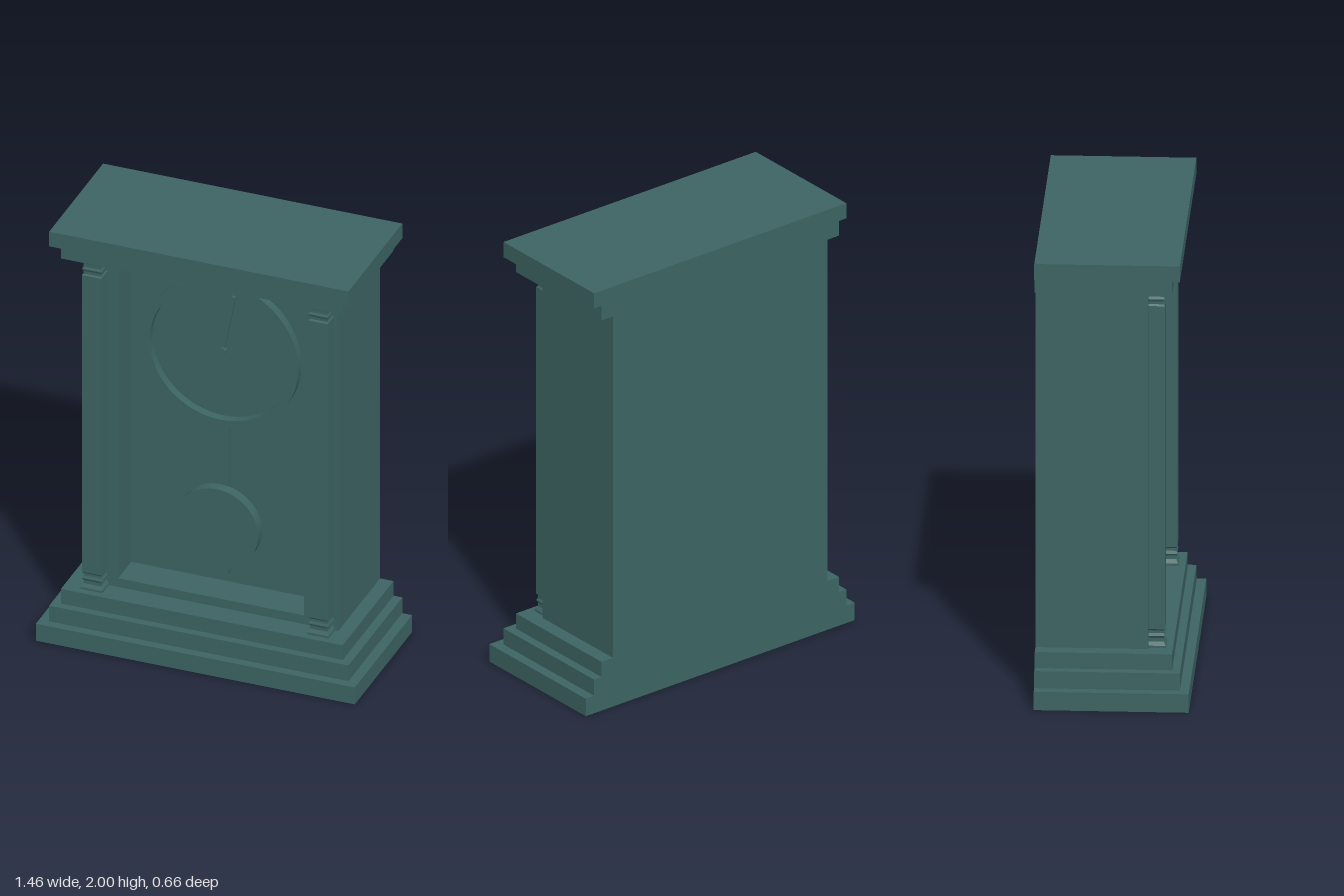
import * as THREE from 'three';

const BACK = -0.33;
const mat = new THREE.MeshStandardMaterial({ color: 0x3c6463, flatShading: true });

export function createModel() {
  const clock = new THREE.Group();
  clock.name = 'mantelClock';

  const add = (name, geometry, parent = clock) => {
    const mesh = new THREE.Mesh(geometry, mat);
    mesh.name = name;
    parent.add(mesh);
    return mesh;
  };
  // Box centred on x, given by half width, height range and depth range
  const slab = (name, halfW, y0, y1, z0, z1) => {
    const g = new THREE.BoxGeometry(halfW * 2, y1 - y0, z1 - z0);
    g.translate(0, (y0 + y1) / 2, (z0 + z1) / 2);
    return add(name, g);
  };
  const rect = (Type, halfW, y0, y1) => new Type([
    new THREE.Vector2(-halfW, y0), new THREE.Vector2(halfW, y0),
    new THREE.Vector2(halfW, y1), new THREE.Vector2(-halfW, y1),
  ]);
  const extrude = (shape, z0, z1, curveSegments = 12) => {
    const g = new THREE.ExtrudeGeometry(shape, { depth: z1 - z0, bevelEnabled: false, curveSegments });
    return g.translate(0, 0, z0);
  };

  // Stepped base and cornice, flush at the back
  slab('baseLower', 0.73, 0, 0.083, BACK, 0.33);
  slab('baseMiddle', 0.685, 0.083, 0.16, BACK, 0.29);
  slab('baseUpper', 0.645, 0.16, 0.232, BACK, 0.255);
  slab('corniceLower', 0.645, 1.858, 1.928, BACK, 0.255);
  slab('corniceUpper', 0.685, 1.928, 2, BACK, 0.29);

  // Case: solid back with a framed recess in front
  slab('caseBack', 0.583, 0.232, 1.858, BACK, 0);
  const frame = rect(THREE.Shape, 0.583, 0.232, 1.858);
  frame.holes.push(rect(THREE.Path, 0.425, 0.275, 1.81));
  add('caseFrame', extrude(frame, 0, 0.15));

  // Square columns with moulded ends, mirrored top to bottom
  const end = [[0.05, 0.232], [0.05, 0.242], [0.039, 0.258], [0.039, 0.274],
    [0.045, 0.284], [0.039, 0.296], [0.039, 0.308], [0.045, 0.315]];
  const profile = [...end, ...end.map(([r, y]) => [r, 2.09 - y]).reverse()]
    .map(([r, y]) => new THREE.Vector2(r * Math.SQRT2, y));
  for (const side of [-1, 1]) {
    const g = new THREE.LatheGeometry(profile, 4, Math.PI / 4);
    g.scale(1, 1, 0.82);
    g.translate(side * 0.518, 0, 0.183);
    add(side > 0 ? 'leftColumn' : 'rightColumn', g);
  }

  // Dial ring joined to the pendulum rod by small fillets
  const cy = 1.412, R = 0.356, w = 0.034;
  const a = Math.asin(0.07 / R);
  const joinY = cy - R * Math.cos(a);
  const outline = new THREE.Shape();
  outline.moveTo(-w + 0.014, 0.322);
  outline.lineTo(w - 0.014, 0.322);
  outline.quadraticCurveTo(w, 0.322, w, 0.345);
  outline.lineTo(w, 1.035);
  outline.quadraticCurveTo(w, 1.056, 0.07, joinY);
  outline.absarc(0, cy, R, -Math.PI / 2 + a, Math.PI * 1.5 - a, false);
  outline.quadraticCurveTo(-w, 1.056, -w, 1.035);
  outline.lineTo(-w, 0.345);
  outline.quadraticCurveTo(-w, 0.322, -w + 0.014, 0.322);
  const opening = new THREE.Path();
  opening.absarc(0, cy, 0.325, 0, Math.PI * 2, true);
  outline.holes.push(opening);
  add('dialRingAndRod', extrude(outline, 0, 0.04, 32));

  // Pendulum bob
  const bob = new THREE.CylinderGeometry(0.19, 0.19, 0.048, 48);
  bob.rotateX(Math.PI / 2);
  bob.translate(0, 0.58, 0.062);
  add('pendulumBob', bob);

  // Hands pivoting on a small hub
  const hands = new THREE.Group();
  hands.name = 'hands';
  hands.position.set(0, cy, 0);
  clock.add(hands);
  const hub = new THREE.CylinderGeometry(0.016, 0.016, 0.022, 20);
  hub.rotateX(Math.PI / 2);
  hub.translate(0, 0, 0.011);
  add('handHub', hub, hands);
  const hand = (name, x, y, rootW, tipW) => {
    const len = Math.hypot(x, y);
    const s = new THREE.Shape([
      new THREE.Vector2(-rootW / 2, 0), new THREE.Vector2(rootW / 2, 0),
      new THREE.Vector2(tipW / 2, len), new THREE.Vector2(-tipW / 2, len),
    ]);
    add(name, extrude(s, 0.002, 0.014), hands).rotation.z = Math.atan2(-x, y);
  };
  hand('minuteHand', 0.048, 0.273, 0.01, 0.019);
  hand('hourHand', -0.163, -0.135, 0.014, 0.007);

  return clock;
}
